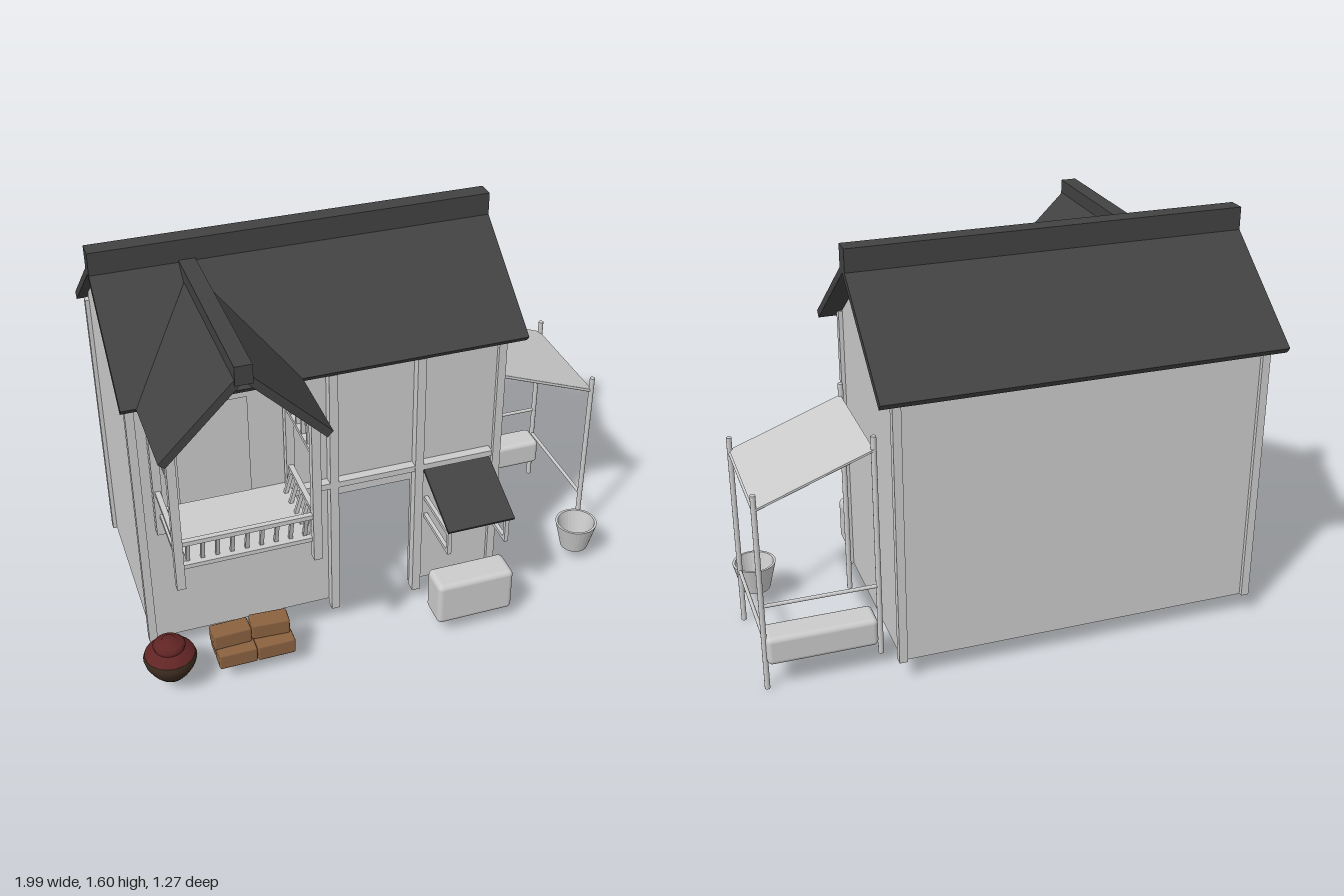
import * as THREE from 'three';
import { RoundedBoxGeometry } from 'three/addons/geometries/RoundedBoxGeometry.js';

const mat = (color, extra = {}) => new THREE.MeshStandardMaterial({ color, ...extra });
const grey = mat(0xcccccc);
const greySheet = mat(0xcccccc, { side: THREE.DoubleSide });
const dark = mat(0x424242);
const wood = mat(0x8b6240);
const clay = mat(0x3d2c20, { side: THREE.DoubleSide });
const red = mat(0x602424, { side: THREE.DoubleSide });

const V = (x, y, z) => new THREE.Vector3(x, y, z);
const shapeOf = (pts) => new THREE.Shape(pts.map(([x, y]) => new THREE.Vector2(x, y)));

export function createModel() {
  const model = new THREE.Group();
  model.name = 'house';

  const add = (name, geometry, material = grey, parent = model) => {
    const mesh = new THREE.Mesh(geometry, material);
    mesh.name = name;
    parent.add(mesh);
    return mesh;
  };
  const group = (name) => {
    const g = new THREE.Group();
    g.name = name;
    model.add(g);
    return g;
  };
  // Box given by its minimum and maximum corners
  const box = (name, x0, x1, y0, y1, z0, z1, material = grey, parent = model) => {
    const mesh = add(name, new THREE.BoxGeometry(x1 - x0, y1 - y0, z1 - z0), material, parent);
    mesh.position.set((x0 + x1) / 2, (y0 + y1) / 2, (z0 + z1) / 2);
    return mesh;
  };
  // Square bar or round rod between two points
  const bar = (name, a, b, w, parent, round = false) => {
    const len = a.distanceTo(b);
    const g = round ? new THREE.CylinderGeometry(w / 2, w / 2, len, 10) : new THREE.BoxGeometry(w, len, w);
    const mesh = add(name, g, grey, parent);
    mesh.position.copy(a).add(b).multiplyScalar(0.5);
    mesh.quaternion.setFromUnitVectors(V(0, 1, 0), b.clone().sub(a).normalize());
    return mesh;
  };

  // Walls: thin shell, open below, with a ground door and a balcony door
  const L = -0.925, R = 0.495, F = 0.225, B = -0.525, base = 0.09, top = 1.21;
  const walls = group('walls');
  const front = shapeOf([[L, base], [-0.155, base], [-0.155, 0.605], [0.135, 0.605],
    [0.135, base], [R, base], [R, top], [L, top]]);
  front.holes.push(shapeOf([[-0.77, 0.71], [-0.77, 1.125], [-0.5, 1.125], [-0.5, 0.71]]));
  add('frontWall', new THREE.ShapeGeometry(front), greySheet, walls).position.z = F;
  const back = add('backWall', new THREE.PlaneGeometry(R - L, 1.13), greySheet, walls);
  back.rotation.y = Math.PI;
  back.position.set((L + R) / 2, base + 0.565, B);
  const gable = shapeOf([[B, base], [F, base], [F, 1.205], [-0.17, 1.5], [B, 1.235]]);
  for (const x of [L, R]) {
    add('gableWall', new THREE.ShapeGeometry(gable).rotateY(-Math.PI / 2), greySheet, walls).position.x = x;
    for (const z of [F, B]) {
      box('cornerPost', x - 0.016, x + 0.016, base, 1.21, z - 0.016, z + 0.016, grey, walls);
    }
  }

  // Timber on the front wall
  for (const x of [-0.185, 0.16]) box('frontPost', x - 0.017, x + 0.017, 0.065, 1.2, F, 0.265);
  box('frontBeam', -0.35, 0.465, 0.665, 0.69, F, 0.262);

  // Main roof: chevron profile extruded along x
  const ridgeZ = -0.17;
  const roofProfile = shapeOf([[0.285, 1.197], [ridgeZ, 1.535], [-0.635, 1.189],
    [-0.617, 1.166], [ridgeZ, 1.499], [0.267, 1.174]]);
  const roofGeo = new THREE.ExtrudeGeometry(roofProfile, { depth: 1.537, bevelEnabled: false });
  add('mainRoof', roofGeo.rotateY(-Math.PI / 2), dark).position.x = 0.577;
  box('mainRidge', -0.96, 0.577, 1.5, 1.597, -0.205, -0.135, dark);

  // Cross gable over the balcony, cut along the valleys
  const crossX = -0.605, thick = 0.03, k = Math.SQRT1_2;
  for (const s of [-1, 1]) {
    const u = 0.3 * Math.SQRT2;
    const outline = shapeOf([[0, 0.63], [0, -0.105], [u, 0.285], [u, 0.63]]);
    const geo = new THREE.ExtrudeGeometry(outline, { depth: thick, bevelEnabled: false });
    if (s < 0) geo.translate(0, 0, -thick);
    const X = V(s * k, -k, 0), Y = V(0, 0, 1);
    geo.applyMatrix4(new THREE.Matrix4().makeBasis(X, Y, X.clone().cross(Y)));
    add('balconyRoof', geo, dark).position.set(crossX, 1.495, 0);
  }
  box('balconyRidge', crossX - 0.031, crossX + 0.031, 1.445, 1.517, -0.135, 0.637, dark);

  // Balcony
  const balcony = group('balcony');
  const bx = [-0.857, -0.355], bz = 0.575;
  box('balconyFloor', bx[0], bx[1], 0.695, 0.712, F, bz, grey, balcony);
  for (const x of bx) {
    const inward = x < crossX ? 0.03 : -0.03;
    for (const z of [0.25, bz]) {
      box('balconyPost', x - 0.016, x + 0.016, 0.62, 1.22, z - 0.016, z + 0.016, grey, balcony);
    }
    for (const y of [0.81, 1.065, 1.185]) {
      box('sideRail', x - 0.01, x + 0.01, y - 0.008, y + 0.008, 0.25, bz, grey, balcony);
    }
    for (let i = 0; i < 5; i++) {
      const z = 0.285 + i * 0.065;
      bar('sideBaluster', V(x + inward, 0.705, z), V(x, 0.81, z), 0.014, balcony);
      if (i < 4) bar('upperBaluster', V(x, 1.065, z + 0.02), V(x, 1.185, z + 0.02), 0.014, balcony);
    }
  }
  box('frontRail', bx[0], bx[1], 0.802, 0.82, bz - 0.01, bz + 0.01, grey, balcony);
  for (let i = 0; i < 9; i++) {
    const x = -0.82 + i * 0.0535;
    bar('frontBaluster', V(x, 0.705, bz - 0.03), V(x, 0.81, bz), 0.014, balcony);
  }

  // Small awning with wall brackets
  const awning = group('awning');
  const slope = box('awningRoof', 0.19, 0.465, -0.006, 0.006, -0.145, 0.145, dark, awning);
  slope.rotation.x = Math.atan2(0.115, 0.265);
  slope.position.set(0.3275, 0.585, 0.366);
  for (const x of [0.207, 0.446]) {
    for (const y of [0.412, 0.497]) {
      box('bracketArm', x - 0.008, x + 0.008, y - 0.008, y + 0.008, F, 0.478, grey, awning);
    }
    box('bracketUpright', x - 0.008, x + 0.008, 0.405, 0.535, 0.462, 0.478, grey, awning);
  }

  // Side stall: poles, sloping canopy, rails and bench
  const stall = group('stall');
  for (const z of [0.08, -0.405]) {
    bar('innerPole', V(0.546, 0.06, z), V(0.546, 0.97, z), 0.021, stall, true);
    bar('outerPole', V(0.984, 0, z), V(0.984, 0.81, z), 0.021, stall, true);
    bar('canopyRafter', V(0.546, 0.915, z), V(0.984, 0.75, z), 0.014, stall, true);
  }
  bar('sideRail', V(0.984, 0.225, 0.08), V(0.984, 0.225, -0.405), 0.015, stall, true);
  bar('canopyRail', V(0.984, 0.745, 0.08), V(0.984, 0.745, -0.405), 0.014, stall, true);
  bar('backRail', V(0.546, 0.355, -0.405), V(0.984, 0.355, -0.405), 0.015, stall, true);
  const canopy = box('canopy', -0.234, 0.234, -0.004, 0.004, -0.25, 0.25, grey, stall);
  canopy.rotation.z = -Math.atan2(0.165, 0.438);
  canopy.position.set(0.765, 0.835, -0.165);
  add('bench', new RoundedBoxGeometry(0.42, 0.115, 0.12, 3, 0.02), grey, stall).position.set(0.77, 0.173, -0.382);

  // Chest before the front wall
  add('chest', new RoundedBoxGeometry(0.32, 0.19, 0.132, 3, 0.022)).position.set(0.325, 0.16, 0.43);

  // Bucket, open at the top
  const lathe = (pts) => new THREE.LatheGeometry(pts.map(([r, y]) => new THREE.Vector2(r, y)), 28);
  add('bucket', lathe([[0, 0.063], [0.058, 0.063], [0.087, 0.182], [0.077, 0.182], [0.052, 0.075], [0, 0.075]]),
    mat(0xcccccc, { side: THREE.DoubleSide, flatShading: true })).position.set(0.908, 0, 0.205);

  // Clay jar with a red shoulder and lid
  const jar = group('jar');
  jar.position.set(-0.893, 0, 0.405);
  add('jarBody', lathe([[0, 0.065], [0.055, 0.065], [0.075, 0.09], [0.095, 0.125], [0.102, 0.15], [0.096, 0.168]]), clay, jar);
  add('jarShoulder', lathe([[0.096, 0.168], [0.08, 0.185], [0.058, 0.197]]), red, jar);
  add('jarLid', lathe([[0.058, 0.195], [0.062, 0.21], [0.05, 0.222], [0.03, 0.226], [0.026, 0.235], [0, 0.237]]), red, jar);

  // Stack of wooden blocks
  const stack = group('blockStack');
  const blocks = [[-0.642, 0.109, 0.355, 0], [-0.49, 0.109, 0.355, 0], [-0.642, 0.109, 0.43, 0],
    [-0.49, 0.109, 0.43, 0], [-0.652, 0.177, 0.39, 0.03], [-0.497, 0.177, 0.385, -0.06]];
  for (const [x, y, z, turn] of blocks) {
    const block = add('block', new RoundedBoxGeometry(0.15, 0.068, 0.075, 1, 0.008), wood, stack);
    block.position.set(x, y, z);
    block.rotation.y = turn;
  }

  return model;
}
